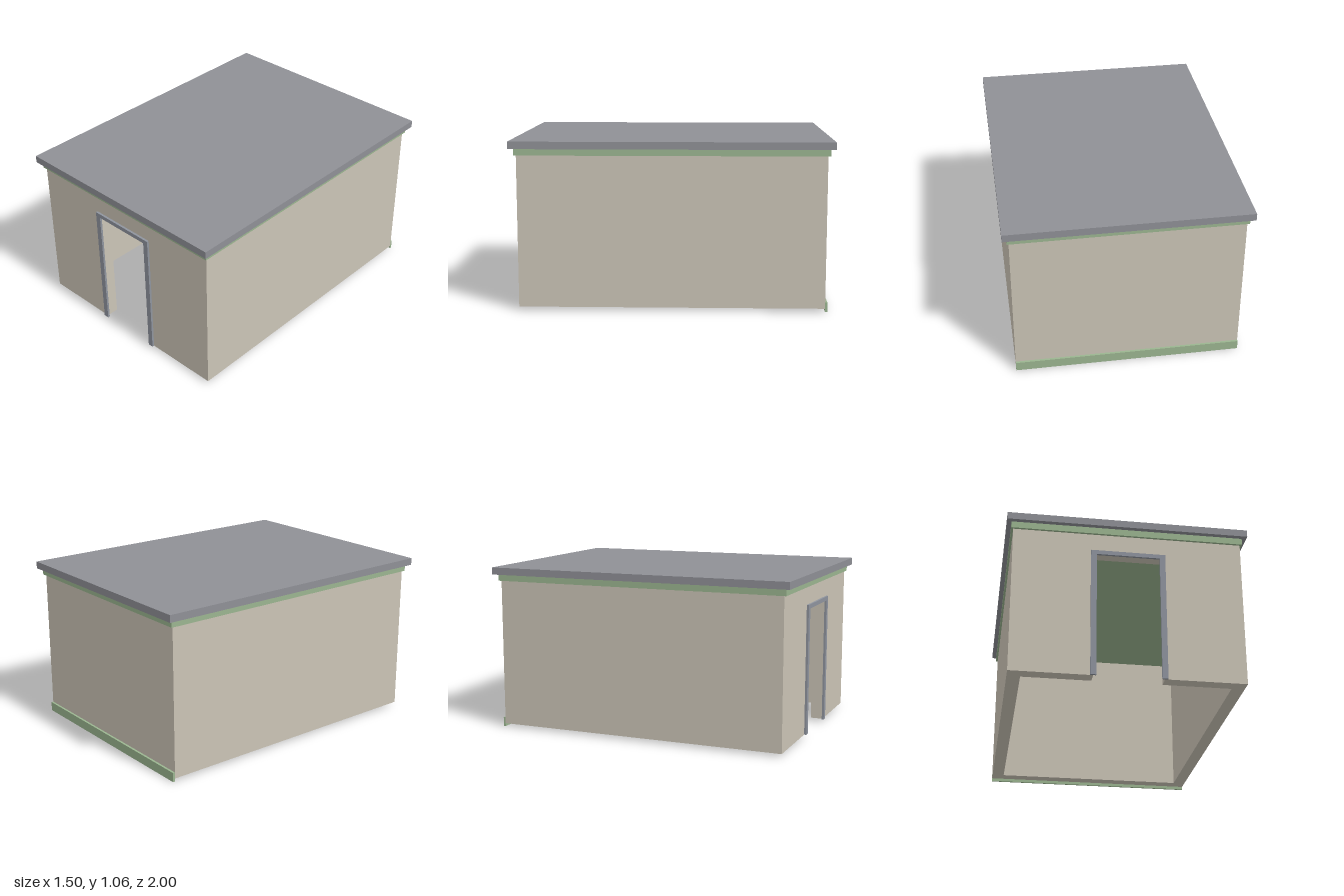
import * as THREE from 'three';

export function createModel() {
  const model = new THREE.Group();
  model.name = 'building';

  const material = (name, color) => {
    const m = new THREE.MeshStandardMaterial({ color });
    m.name = name;
    return m;
  };
  const wall = material('beige wall', 0xcbc4b6);
  const trim = material('green trim', 0x9bb590);
  const roof = material('grey roof', 0x8f9096);
  const frame = material('blue grey frame', 0x8f949e);

  // Box given by its lower and upper bounds on each axis
  const box = (name, mat, [x0, x1], [y0, y1], [z0, z1], parent = model) => {
    const mesh = new THREE.Mesh(new THREE.BoxGeometry(x1 - x0, y1 - y0, z1 - z0), mat);
    mesh.name = name;
    mesh.position.set((x0 + x1) / 2, (y0 + y1) / 2, (z0 + z1) / 2);
    parent.add(mesh);
    return mesh;
  };
  const W = 0.71, D = 0.955, T = 0.08; // wall half width, half depth, thickness
  const BASE = 0.02, EAVE = 0.972;
  const DOOR = 0.212, DOOR_TOP = 0.84;

  // Roof slab and the cornice below it, which also closes the ceiling
  box('roof', roof, [-0.75, 0.75], [1.014, 1.06], [-1, 1]);
  box('cornice', trim, [-0.722, 0.722], [EAVE, 1.014], [-0.97, 0.97]);

  // Walls, open at the floor
  const walls = new THREE.Group();
  walls.name = 'walls';
  model.add(walls);
  box('backWall', wall, [-W, W], [BASE, EAVE], [-D, -D + T], walls);
  for (const [side, s] of [['left', 1], ['right', -1]]) {
    const span = (a, b) => (s > 0 ? [a, b] : [-b, -a]);
    box(side + 'Wall', wall, span(W - T, W), [BASE, EAVE], [-D + T, D - T], walls);
    box(side + 'FrontWall', wall, span(DOOR, W), [BASE, EAVE], [D - T, D], walls);
    box(side + 'DoorJamb', frame, span(0.195, 0.23), [BASE, 0.855], [D, 0.969]);
  }
  box('lintel', wall, [-DOOR, DOOR], [DOOR_TOP, EAVE], [D - T, D], walls);
  box('doorHeader', frame, [-0.195, 0.195], [0.828, 0.855], [D, 0.969]);

  // Skirting along the foot of the back wall
  box('backSkirting', trim, [-W, W], [0, 0.06], [-0.969, -D]);

  return model;
}
